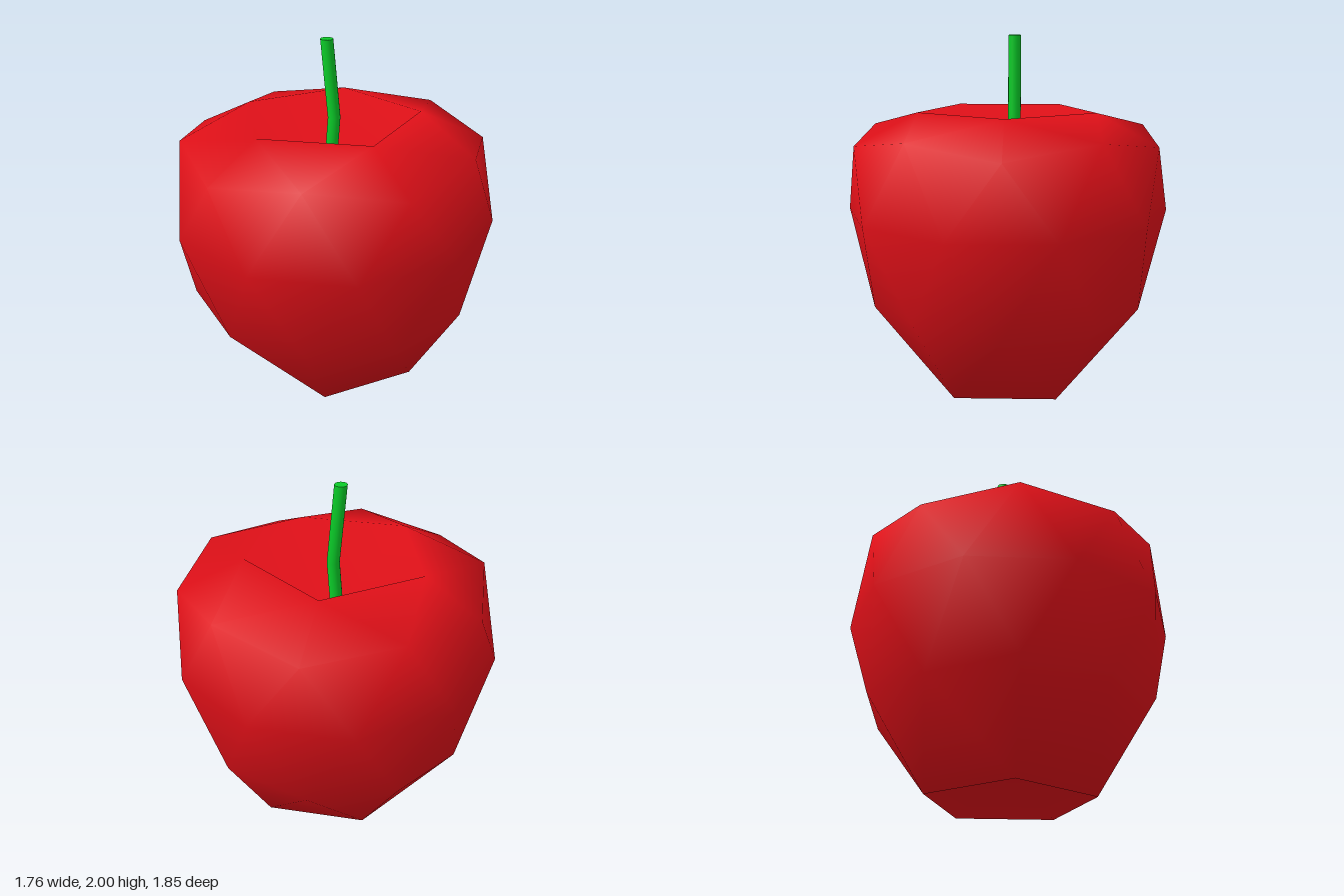
import * as THREE from 'three';

// Faceted fruit body: rings of 5 and 10 points joined like a subdivided icosahedron
function bodyGeometry() {
  const points = [];
  // n points from the start angle (degrees); [radius, height] pairs alternate round the ring
  const ring = (n, start, pairs, cx = 0) => {
    const first = points.length / 3;
    for (let i = 0; i < n; i++) {
      const a = THREE.MathUtils.degToRad(start + (360 / n) * i);
      const [r, y] = pairs[i % pairs.length];
      points.push(cx + r * Math.cos(a), y, r * Math.sin(a));
    }
    return (i) => first + ((i + n) % n);
  };

  const topDent = ring(1, 0, [[0, 1.2]]);
  const rim = ring(5, 0, [[0.525, 1.575]], -0.02);
  const shoulder = ring(10, 0, [[0.88, 1.4], [0.85, 1.47]]);
  const waist = ring(10, 18, [[0.927, 1]]);
  const belly = ring(10, 0, [[0.79, 0.47], [0.82, 0.51]]);
  const base = ring(5, 36, [[0.485, 0]], 0.04);
  const baseDent = ring(1, 0, [[0, 0.24]]);

  const index = [];
  const tri = (a, b, c) => index.push(a, b, c);
  for (let k = 0; k < 5; k++) {
    const j = 2 * k;
    // hollow top and rim
    tri(topDent(0), rim(k + 1), rim(k));
    tri(rim(k), shoulder(j + 1), shoulder(j));
    tri(rim(k), shoulder(j), shoulder(j - 1));
    tri(rim(k), rim(k + 1), shoulder(j + 1));
    // foot and hollow underside
    tri(base(k), belly(j), belly(j + 1));
    tri(base(k), belly(j + 1), belly(j + 2));
    tri(base(k), belly(j + 2), base(k + 1));
    tri(baseDent(0), base(k), base(k + 1));
  }
  for (let j = 0; j < 10; j++) {
    // sides
    tri(shoulder(j), shoulder(j + 1), waist(j));
    tri(shoulder(j + 1), waist(j + 1), waist(j));
    tri(waist(j), belly(j + 1), belly(j));
    tri(waist(j), waist(j + 1), belly(j + 1));
  }

  const g = new THREE.BufferGeometry();
  g.setAttribute('position', new THREE.Float32BufferAttribute(points, 3));
  g.setIndex(index);
  g.computeVertexNormals();
  return g;
}

// Stem: a thin cylinder with one bend, kept level at both ends
function stemGeometry() {
  const g = new THREE.CylinderGeometry(0.036, 0.036, 0.9, 16, 2);
  g.translate(0, 1.55, -0.042);
  const p = g.attributes.position;
  for (let i = 0; i < p.count; i++) {
    const y = p.getY(i);
    const lean = y > 1.56 ? -0.025 : y > 1.54 ? 0.016 : -0.015;
    p.setX(i, p.getX(i) + lean);
  }
  return g;
}

export function createModel() {
  const group = new THREE.Group();
  group.name = 'apple';
  const add = (name, geometry, color) => {
    const mesh = new THREE.Mesh(geometry, new THREE.MeshStandardMaterial({ color }));
    mesh.name = name;
    group.add(mesh);
  };
  add('body', bodyGeometry(), 0xe01018);
  add('stem', stemGeometry(), 0x0acc28);
  return group;
}
